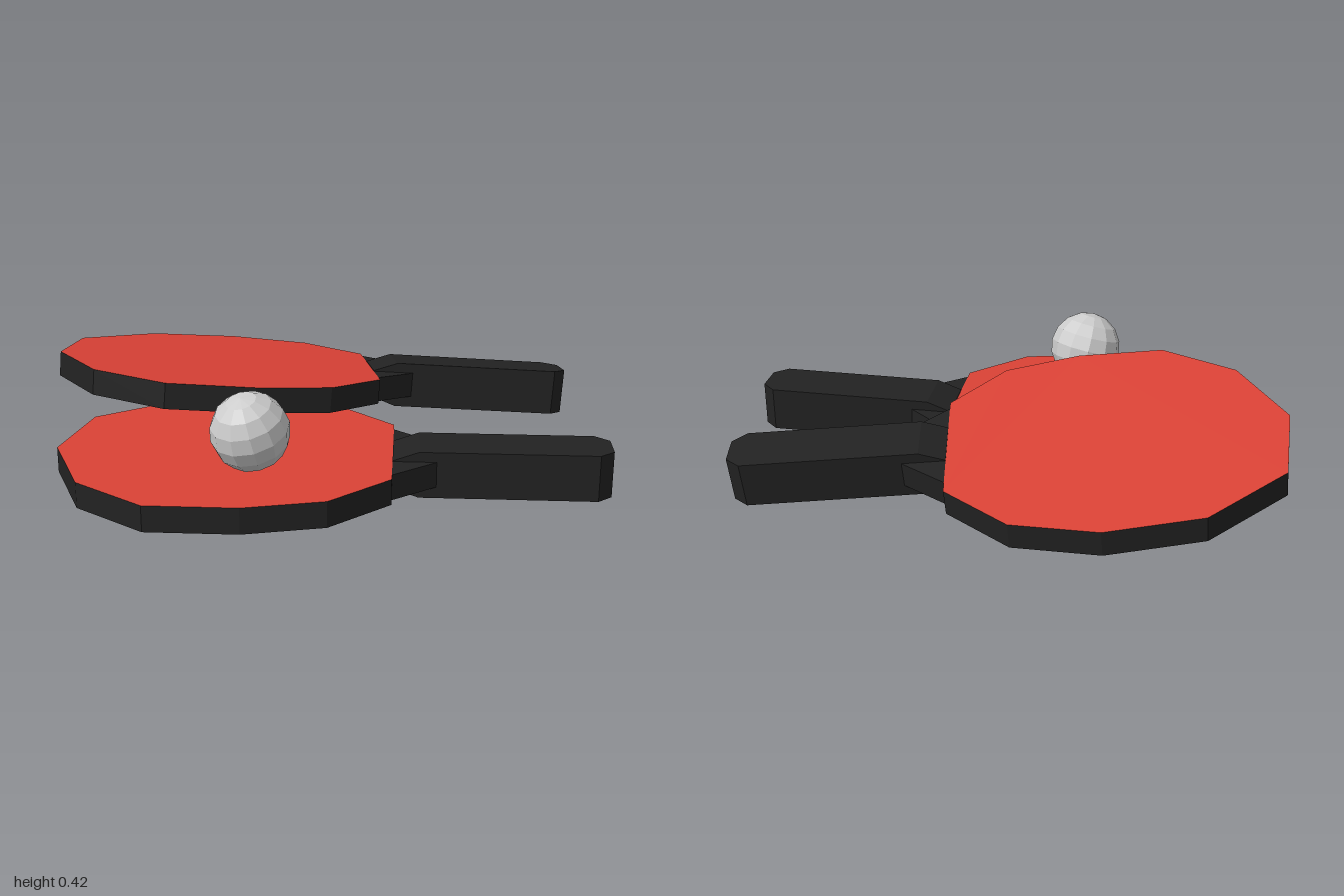
import * as THREE from 'three';

const red = new THREE.MeshStandardMaterial({ color: 0xdb4236, flatShading: true });
const black = new THREE.MeshStandardMaterial({ color: 0x222222, flatShading: true });
const grey = new THREE.MeshStandardMaterial({ color: 0xcccccc, flatShading: true });

// Horizontal slab from an outline of [x, z] points, between two heights
function slab(points, y0, y1) {
  const shape = new THREE.Shape(points.map(([x, z]) => new THREE.Vector2(x, -z)));
  const geo = new THREE.ExtrudeGeometry(shape, { depth: y1 - y0, bevelEnabled: false });
  return geo.rotateX(-Math.PI / 2).translate(0, y0, 0);
}

function named(name, geo, material) {
  const mesh = new THREE.Mesh(geo, material);
  mesh.name = name;
  return mesh;
}

// Grip: a box whose columns follow stations of x, half height and half width
function handleGeometry() {
  const stations = [
    [0.25, 0.05, 0.1],
    [0.34, 0.0825, 0.1],
    [0.95, 0.0825, 0.1],
    [1.0, 0.0825, 0.055],
  ];
  const geo = new THREE.BoxGeometry(3, 2, 2, 3, 1, 1);
  const p = geo.attributes.position;
  for (let i = 0; i < p.count; i++) {
    const [x, h, w] = stations[Math.round(p.getX(i) + 1.5)];
    p.setXYZ(i, x, 0.0825 + p.getY(i) * h, 0.245 + p.getZ(i) * w);
  }
  geo.computeVertexNormals();
  return geo;
}

function createPaddle(name) {
  const paddle = new THREE.Group();
  paddle.name = name;

  // Blade: red rubber faces with a black rim
  const outline = [
    [0.25, 0.51], [0.05, 0.71], [-0.22, 0.78], [-0.53, 0.78], [-0.78, 0.6], [-0.92, 0.28],
    [-0.86, -0.05], [-0.58, -0.26], [-0.25, -0.3], [0.04, -0.23], [0.25, -0.03],
  ];
  paddle.add(named('blade', slab(outline, 0.04, 0.13), [red, black]));

  // Shoulders tapering from the blade to the grip
  const neck = [[0.25, 0.47], [0.25, 0.02], [0.4, 0.145], [0.4, 0.345]];
  paddle.add(named('neck', slab(neck, 0.04, 0.13), black));

  paddle.add(named('handle', handleGeometry(), black));
  return paddle;
}

export function createModel() {
  const model = new THREE.Group();
  model.name = 'tableTennisSet';

  model.add(createPaddle('lowerPaddle'));

  // Upper paddle, leaning on the lower one
  const upper = createPaddle('upperPaddle');
  const up = new THREE.Vector3(0.066, 1, -0.123).normalize();
  const along = new THREE.Vector3(0.984, -0.085, -0.16).normalize();
  const side = along.clone().cross(up).normalize();
  up.crossVectors(side, along);
  const basis = new THREE.Matrix4().makeBasis(along, up, side);
  upper.quaternion.setFromRotationMatrix(basis);
  const joint = new THREE.Vector3(0.25, 0.13, 0.24).applyMatrix4(basis);
  upper.position.set(0.15, 0.255, -0.35).sub(joint);
  model.add(upper);

  // Ball
  const ball = named('ball', new THREE.SphereGeometry(0.134, 12, 8), grey);
  ball.position.set(-0.215, 0.285, 0.503);
  ball.rotation.set(0.25, 0.2, 0.2);
  model.add(ball);

  return model;
}
